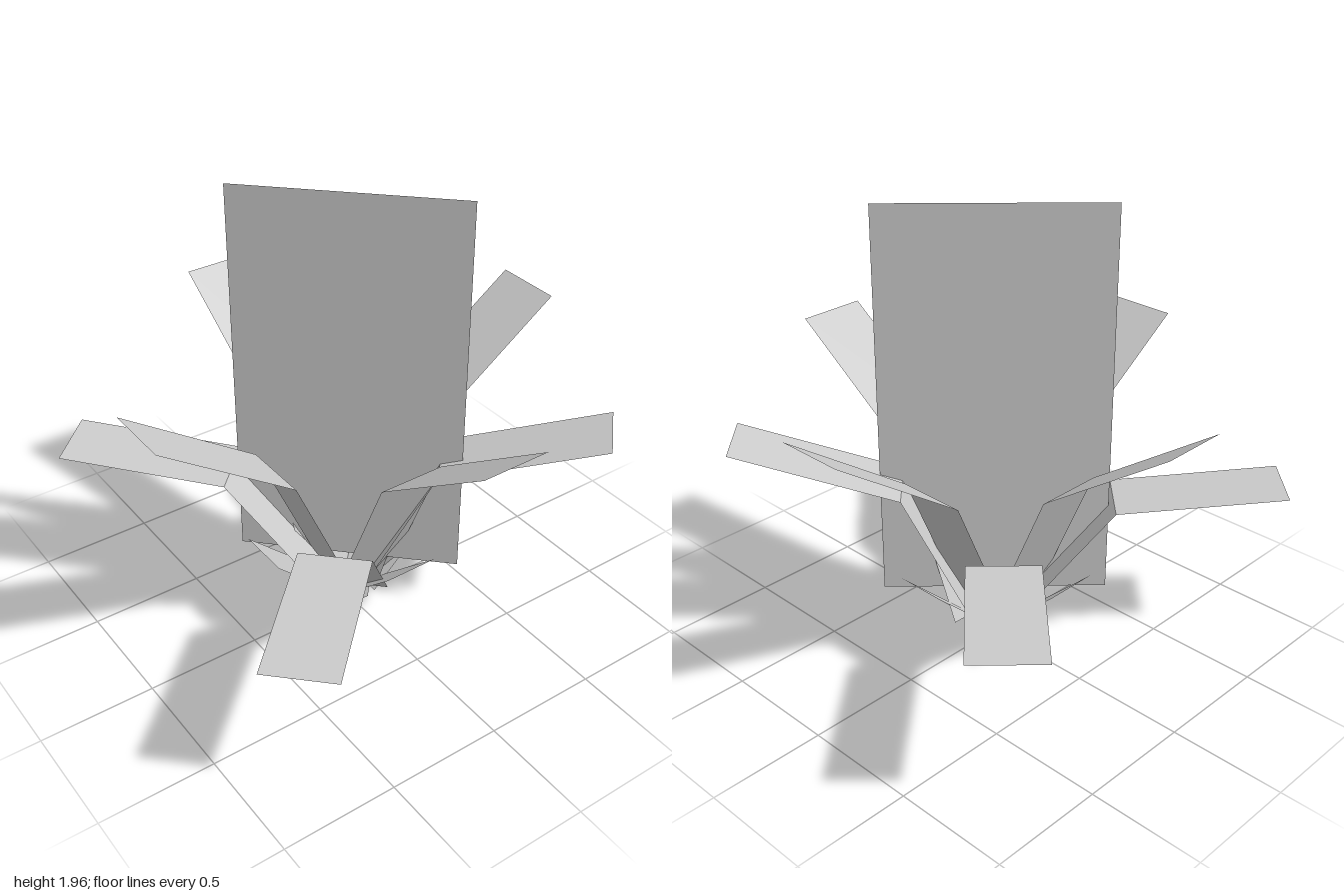
import * as THREE from 'three';

const material = new THREE.MeshStandardMaterial({ color: 0xcccccc, flatShading: true, side: THREE.DoubleSide });
const CENTRE = -0.01; // stem axis in x and z

// Flat strip that follows [radius, height] points outward and upward
function strip(name, profile, width, shift, degrees) {
  const positions = [];
  const corner = ([r, y], side) => [shift + side * width / 2, y, r];
  for (let i = 0; i < profile.length - 1; i++) {
    const a = corner(profile[i], -1), b = corner(profile[i], 1);
    const c = corner(profile[i + 1], 1), d = corner(profile[i + 1], -1);
    positions.push(...a, ...c, ...b, ...a, ...d, ...c);
  }
  const geometry = new THREE.BufferGeometry();
  geometry.setAttribute('position', new THREE.Float32BufferAttribute(positions, 3));
  geometry.computeVertexNormals();
  const mesh = new THREE.Mesh(geometry, material);
  mesh.name = name;
  mesh.rotation.y = THREE.MathUtils.degToRad(degrees);
  mesh.position.set(CENTRE, 0, CENTRE);
  return mesh;
}

export function createModel() {
  const group = new THREE.Group();
  group.name = 'plant';

  // Square stem at the foot
  const stem = new THREE.Mesh(new THREE.BoxGeometry(0.12, 0.1, 0.12), material);
  stem.name = 'stem';
  stem.position.set(CENTRE, 0.05, CENTRE);
  group.add(stem);

  // Tall upright sheet set across the diagonal
  const sheet = new THREE.Mesh(new THREE.PlaneGeometry(0.957, 1.72), material);
  sheet.name = 'flowerSheet';
  sheet.position.set(CENTRE, 1.1, -0.005);
  sheet.rotation.y = Math.PI / 4;
  group.add(sheet);

  // Four raised leaves and four small low leaves
  for (let i = 0; i < 4; i++) {
    group.add(strip('upperLeaf', [[0.06, 0.11], [0.385, 0.855], [0.975, 1.265]], 0.3, 0.03, i * 90));
    group.add(strip('smallLeaf', [[0.05, 0.08], [0.44, 0.44]], 0.24, 0, i * 90));
  }

  // Four diagonal leaves, each with its own bend: joint radius, height, tip radius, height
  const diagonals = [
    [45, 0.523, 0.642, 1.243, 0.677],
    [135, 0.382, 0.765, 1.068, 0.98],
    [225, 0.502, 0.665, 1.223, 0.728],
    [315, 0.502, 0.665, 1.216, 0.728],
  ];
  for (const [degrees, jointR, jointY, tipR, tipY] of diagonals) {
    group.add(strip('lowerLeaf', [[0.06, 0.115], [jointR, jointY], [tipR, tipY]], 0.3, 0.03, degrees));
  }
  return group;
}
